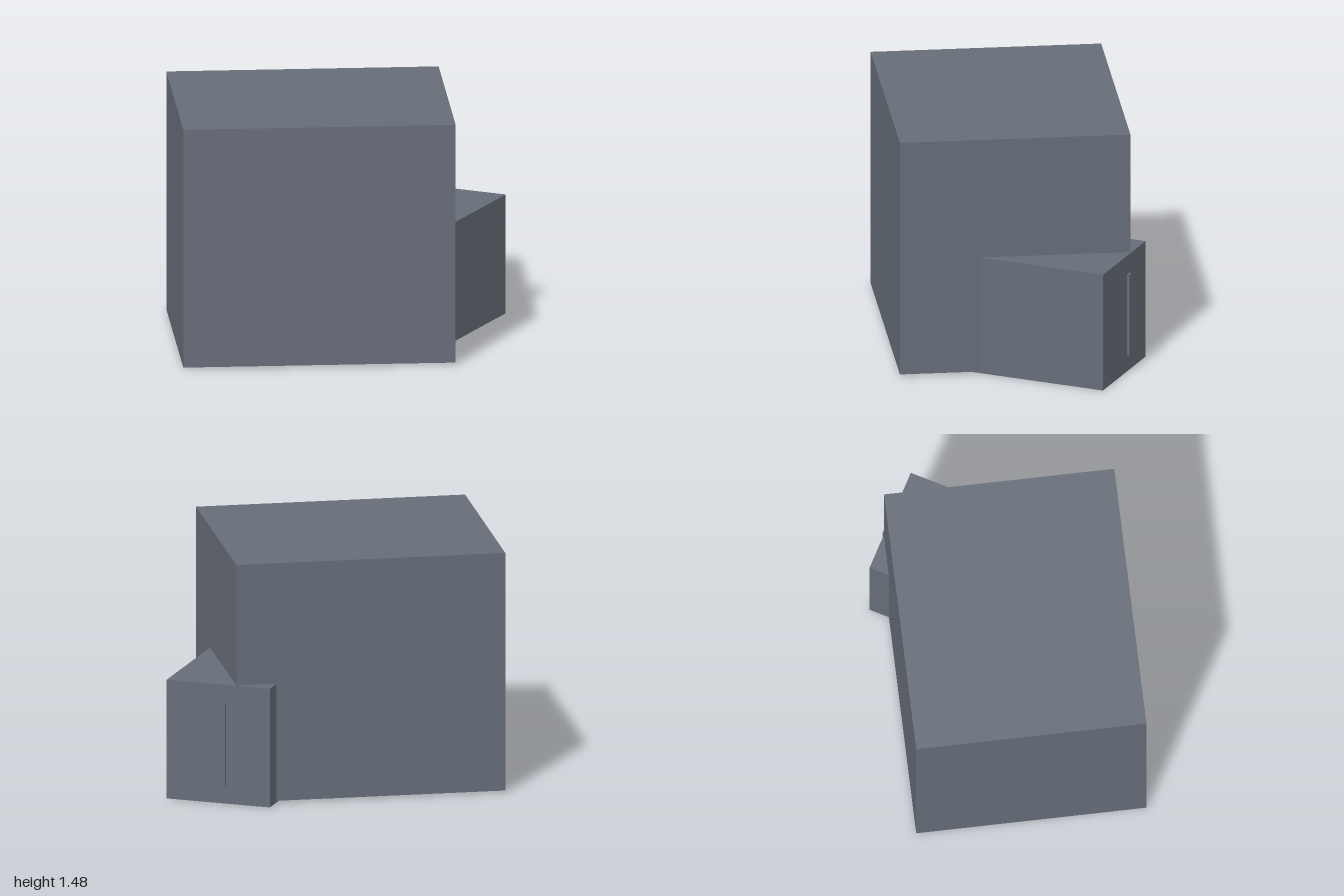
import * as THREE from 'three';

export function createModel() {
  const model = new THREE.Group();
  const slate = new THREE.MeshStandardMaterial({ color: 0x666d78 });
  slate.name = 'slate grey';

  // Box standing on its group's floor
  function box(parent, name, w, h, d, x, y, z) {
    const mesh = new THREE.Mesh(new THREE.BoxGeometry(w, h, d), slate);
    mesh.name = name;
    mesh.position.set(x, y + h / 2, z);
    parent.add(mesh);
    return mesh;
  }

  // Large block, turned about the vertical
  const block = box(model, 'largeBlock', 1.637, 1.473, 1.39, -0.015, 0.01, 0.025);
  block.rotation.y = 0.297;

  // Smaller cabinet running into the block's back corner
  const cabinet = new THREE.Group();
  cabinet.name = 'cabinet';
  cabinet.position.set(0.557, 0, -0.302);
  cabinet.rotation.y = -0.209;
  model.add(cabinet);
  box(cabinet, 'cabinetBody', 0.654, 0.736, 1.145, 0, 0, 0);

  // Upright handle bar just clear of the cabinet's back face
  box(cabinet, 'handle', 0.034, 0.515, 0.016, -0.036, 0.112, -0.591);

  return model;
}
